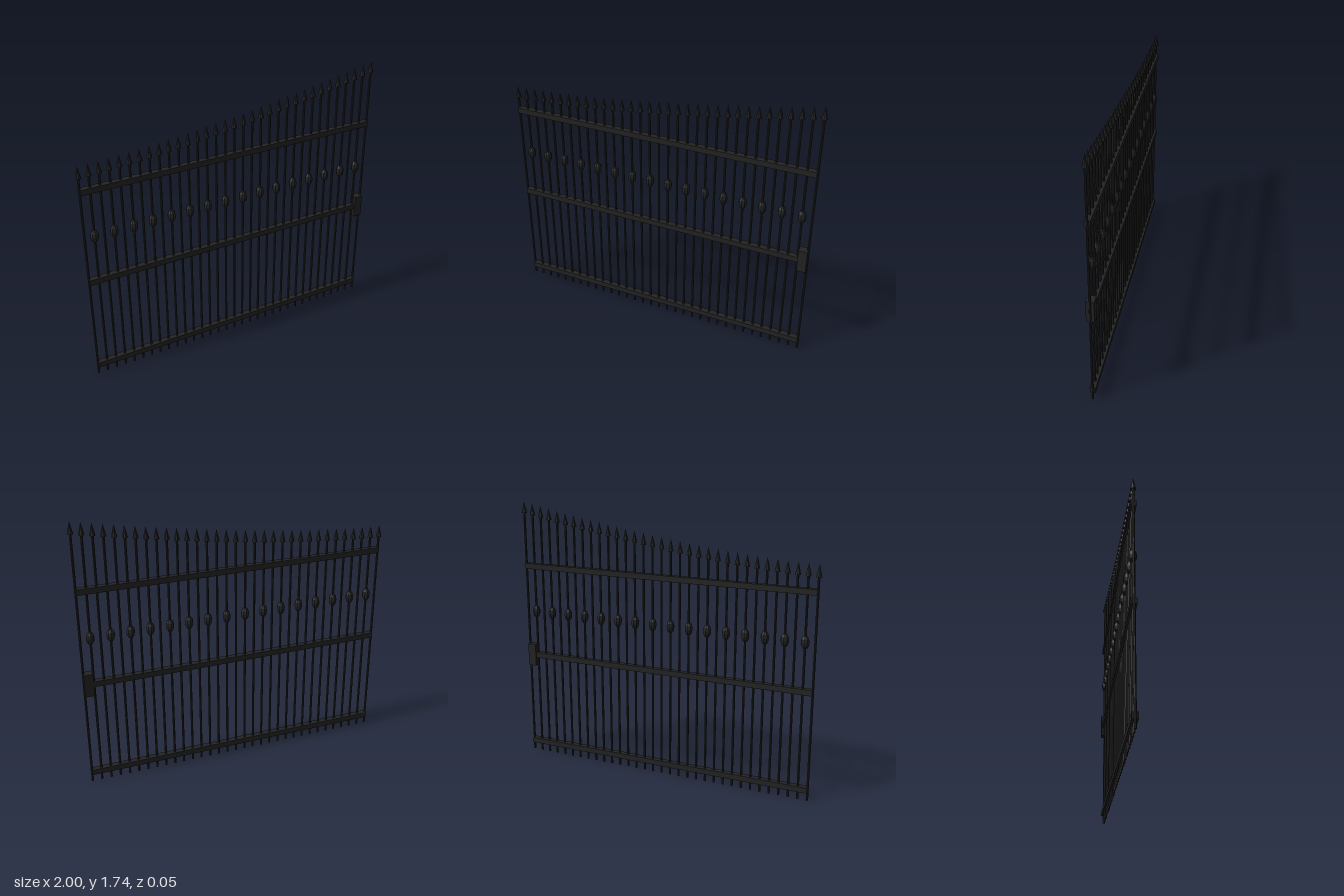
import * as THREE from 'three';

const BARS = 33;
const HALF = 0.982;

export function createModel() {
  const group = new THREE.Group();
  const iron = new THREE.MeshStandardMaterial({ color: 0x242424 });
  iron.name = 'black iron';
  iron.flatShading = true;

  const add = (name, geometry, x, y, z = 0) => {
    const mesh = new THREE.Mesh(geometry, iron);
    mesh.name = name;
    mesh.position.set(x, y, z);
    group.add(mesh);
    return mesh;
  };

  // Shared shapes
  const barGeo = new THREE.CylinderGeometry(0.0075, 0.0075, 1, 8);
  const spearGeo = new THREE.ConeGeometry(0.018, 0.075, 8);
  const knobGeo = new THREE.SphereGeometry(0.026, 8, 6).scale(1, 1.65, 1);

  // Upright bars rise in a sweeping curve, each topped by a spear point
  for (let i = 0; i < BARS; i++) {
    const t = i / (BARS - 1);
    const x = -HALF + 2 * HALF * t;
    const tip = 1.475 + 0.26 * Math.pow(t, 1.5);
    const top = tip - 0.07;
    add('bar', barGeo, x, top / 2).scale.y = top;
    add('spearPoint', spearGeo, x, tip - 0.0375);
    // Every second bar carries a knob
    if (i % 2 === 1) add('knob', knobGeo, x, 1.006);
  }

  // Horizontal rails
  const railGeo = new THREE.BoxGeometry(2 * HALF, 0.036, 0.036);
  for (const y of [0.07, 0.702, 1.312]) add('rail', railGeo, 0, y);

  // Lock case on the tall end
  add('lockCase', new THREE.BoxGeometry(0.056, 0.15, 0.05), 0.955, 0.702);

  return group;
}
